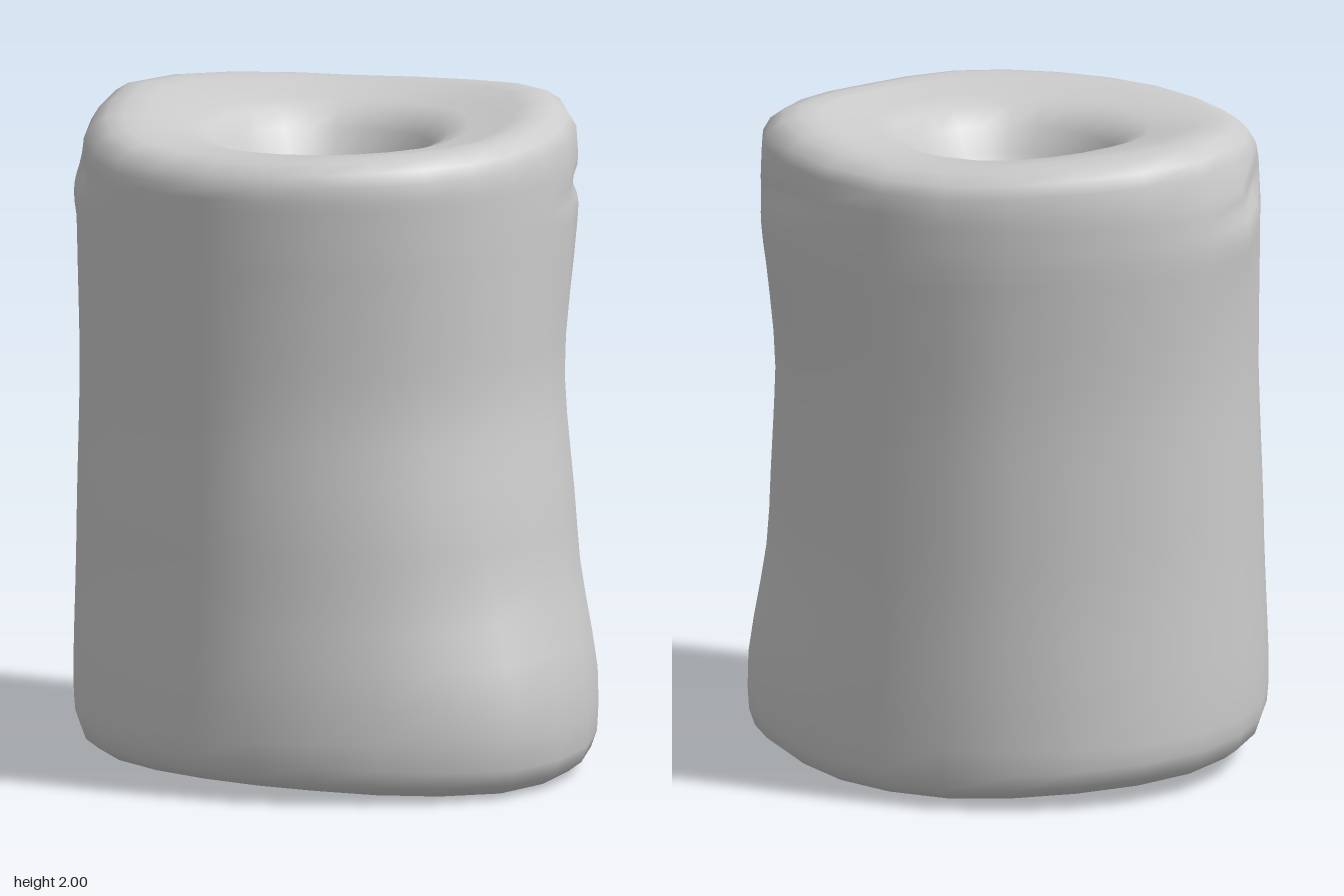
import * as THREE from 'three';

const SEGMENTS = 24;

// Closed smooth curve through values spaced evenly around the roll (0 = +x, quarter turn = +z)
function around(values, t) {
  const n = values.length, f = t * n, i = Math.floor(f), u = f - i;
  const [a, b, c, d] = [-1, 0, 1, 2].map(k => values[(i + k + n) % n]);
  return b + 0.5 * u * (c - a + u * (2 * a - 5 * b + 4 * c - d + u * (3 * (b - c) + d - a)));
}

// Radii of the squashed wall at a few heights, every 30 degrees
const WALL = [
  { y: 0.00, r: [.765, .785, .81, .785, .735, .74, .77, .78, .82, .82, .79, .77] },
  { y: 0.25, r: [.775, .795, .82, .79, .735, .745, .778, .79, .83, .815, .79, .78] },
  { y: 0.70, r: [.71, .73, .735, .71, .69, .72, .757, .78, .82, .795, .78, .75] },
  { y: 1.20, r: [.705, .69, .66, .645, .65, .70, .737, .77, .82, .79, .775, .74] },
  { y: 1.70, r: [.77, .71, .66, .658, .66, .70, .74, .78, .85, .81, .79, .785] },
  { y: 2.00, r: [.77, .70, .655, .662, .66, .70, .74, .755, .835, .80, .78, .79] },
];
// Uneven height of the bottom edge and of the top rim
const BOTTOM = [.04, .015, .003, .01, .03, .045, .05, .05, .045, .035, .015, .02];
const RIM = [2.0, 1.975, 1.955, 1.955, 1.95, 1.94, 1.935, 1.965, 1.995, 1.985, 1.965, 1.975];

// Local dents and bulges: angle in degrees, height, angular width, height width, depth
const DENTS = [
  [75, 0.22, 12, 0.3, 0.045],
  [15, 1.75, 8, 0.035, -0.02],
  [-17, 1.81, 8, 0.035, -0.02],
  [213, 1.79, 9, 0.04, -0.03],
  [228, 1.68, 6, 0.09, 0.02],
  [228, 1.92, 9, 0.07, -0.025],
];

function wallRadius(t, y) {
  let k = 0;
  while (k < WALL.length - 2 && y > WALL[k + 1].y) k++;
  const lo = WALL[k], hi = WALL[k + 1];
  const u = THREE.MathUtils.clamp((y - lo.y) / (hi.y - lo.y), 0, 1);
  const s = u * u * (3 - 2 * u) * 0.5 + u * 0.5;
  let r = THREE.MathUtils.lerp(around(lo.r, t), around(hi.r, t), s);
  for (const [deg, h, w, hw, depth] of DENTS) {
    const da = ((t * 360 - deg + 540) % 360 + 360) % 360 - 180;
    r += depth * Math.exp(-((da / w) ** 2) - ((y - h) / hw) ** 2);
  }
  return r;
}

// Rows of the skin, from the middle of the base, up the wall and down into the hollow
function makeRows() {
  const rows = [];
  // slightly hollow underside and rounded lower edge: scale, height above the bottom edge
  for (const [s, h] of [[0, .04], [.4, .028], [.7, .01], [.85, 0], [.93, .01], [.98, .04], [1, .09]]) {
    rows.push(t => ({ r: s * wallRadius(t, h), y: around(BOTTOM, t) * Math.min(1, s * 1.18) + h }));
  }
  // wall
  for (let y = 0.19; y < 1.84; y += y < 1.6 ? 0.11 : 0.03) {
    const h = y;
    rows.push(t => ({ r: wallRadius(t, h), y: h }));
  }
  // rounded upper rim: scale, drop below the crest
  for (const [s, d] of [[.995, .075], [.965, .037], [.91, .009], [.84, 0], [.76, .006]]) {
    rows.push(t => ({ r: s * wallRadius(t, 1.9), y: around(RIM, t) - d }));
  }
  // shallow dish and central hollow: radius, height, shift toward the back
  for (const [r, y, z] of [[.51, 1.95, -.02], [.42, 1.935, -.035], [.36, 1.913, -.045], [.31, 1.865, -.05],
    [.275, 1.79, -.05], [.22, 1.70, -.05], [.13, 1.635, -.04], [0, 1.61, -.04]]) {
    rows.push(t => ({ r, y: y + (around(RIM, t) - 1.97) * r, z }));
  }
  return rows;
}

// Joins the rows into one closed smooth skin, with fans at both middles
function loft(rows) {
  const pos = [], index = [];
  rows.forEach((row, j) => {
    for (let i = 0; i < SEGMENTS; i++) {
      const t = i / SEGMENTS, a = t * Math.PI * 2;
      const { r, y, z = 0 } = row(t);
      pos.push(r * Math.cos(a), y, r * Math.sin(a) + z);
      if (j === rows.length - 1) continue;
      const p = j * SEGMENTS + i, q = j * SEGMENTS + (i + 1) % SEGMENTS;
      if (j > 0) index.push(p, p + SEGMENTS, q);
      if (j < rows.length - 2) index.push(q, p + SEGMENTS, q + SEGMENTS);
    }
  });
  const geo = new THREE.BufferGeometry();
  geo.setAttribute('position', new THREE.Float32BufferAttribute(pos, 3));
  geo.setIndex(index);
  geo.computeVertexNormals();
  return geo;
}

export function createModel() {
  const group = new THREE.Group();
  group.name = 'wornRoll';
  const body = new THREE.Mesh(loft(makeRows()), new THREE.MeshStandardMaterial({ color: 0xcccccc }));
  body.name = 'rollBody';
  group.add(body);
  return group;
}
